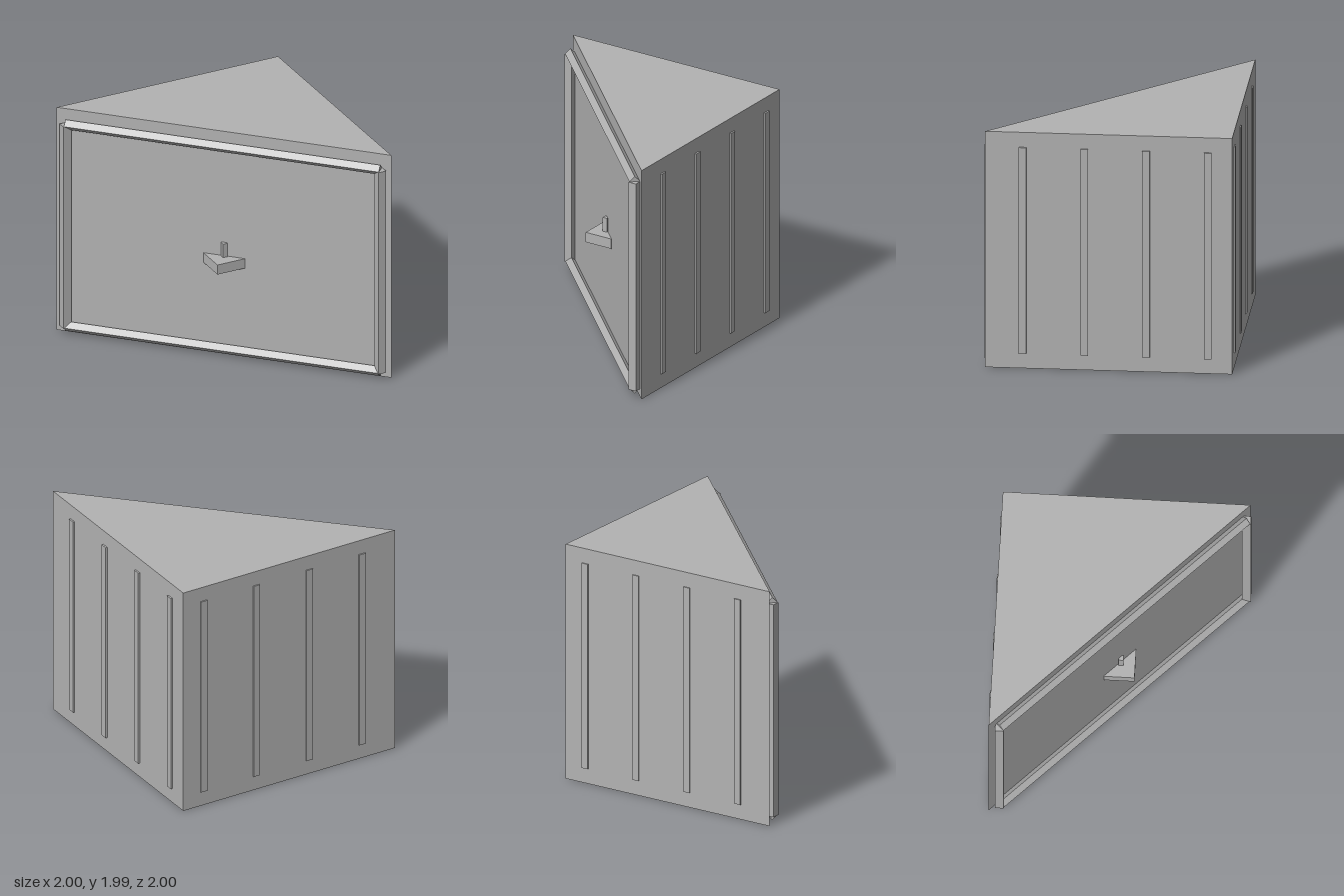
import * as THREE from 'three';

export function createModel() {
  const model = new THREE.Group();
  model.name = 'cornerCabinet';
  const grey = new THREE.MeshStandardMaterial({ color: 0xb2b2b2 });
  grey.name = 'plain grey';

  const box = (name, size, position) => {
    const mesh = new THREE.Mesh(new THREE.BoxGeometry(...size), grey);
    mesh.name = name;
    mesh.position.set(...position);
    model.add(mesh);
    return mesh;
  };

  // Triangular body with the diagonal face toward the front
  const plan = new THREE.Shape([
    new THREE.Vector2(-1, 0.99),
    new THREE.Vector2(0.985, -0.99),
    new THREE.Vector2(0.985, 0.99),
  ]);
  const bodyGeometry = new THREE.ExtrudeGeometry(plan, { depth: 1.985, bevelEnabled: false });
  bodyGeometry.rotateX(-Math.PI / 2);
  const body = new THREE.Mesh(bodyGeometry, grey);
  body.name = 'body';
  model.add(body);

  // Upright posts of the front frame
  const ends = [[-0.965, -0.905], [0.9, 0.963]];
  for (const [x, z] of ends) box('framePost', [0.07, 1.8, 0.07], [x, 0.96, z]);

  // Horizontal rails, turned on edge, running between the post centres
  for (const y of [0.064, 1.862]) {
    const rail = box('frameRail', [2.638, 0.061, 0.061], [-0.0325, y, 0.029]);
    rail.rotation.set(Math.PI / 4, -Math.PI / 4, 0, 'YXZ');
  }

  // Ribs on the two straight walls
  for (let i = 0; i < 4; i++) {
    const step = 0.495 * i;
    box('sideRib', [0.03, 1.735, 0.06], [0.985, 0.9925, 0.69 - step]);
    box('backRib', [0.06, 1.735, 0.03], [-0.69 + step, 0.9925, -0.985]);
  }

  // Small ledge with a peg in the middle of the diagonal face
  box('ledge', [0.245, 0.085, 0.245], [-0.0075, 0.8325, 0.0025]);
  box('peg', [0.04, 0.13, 0.04], [-0.01, 0.93, 0.01]);

  return model;
}
